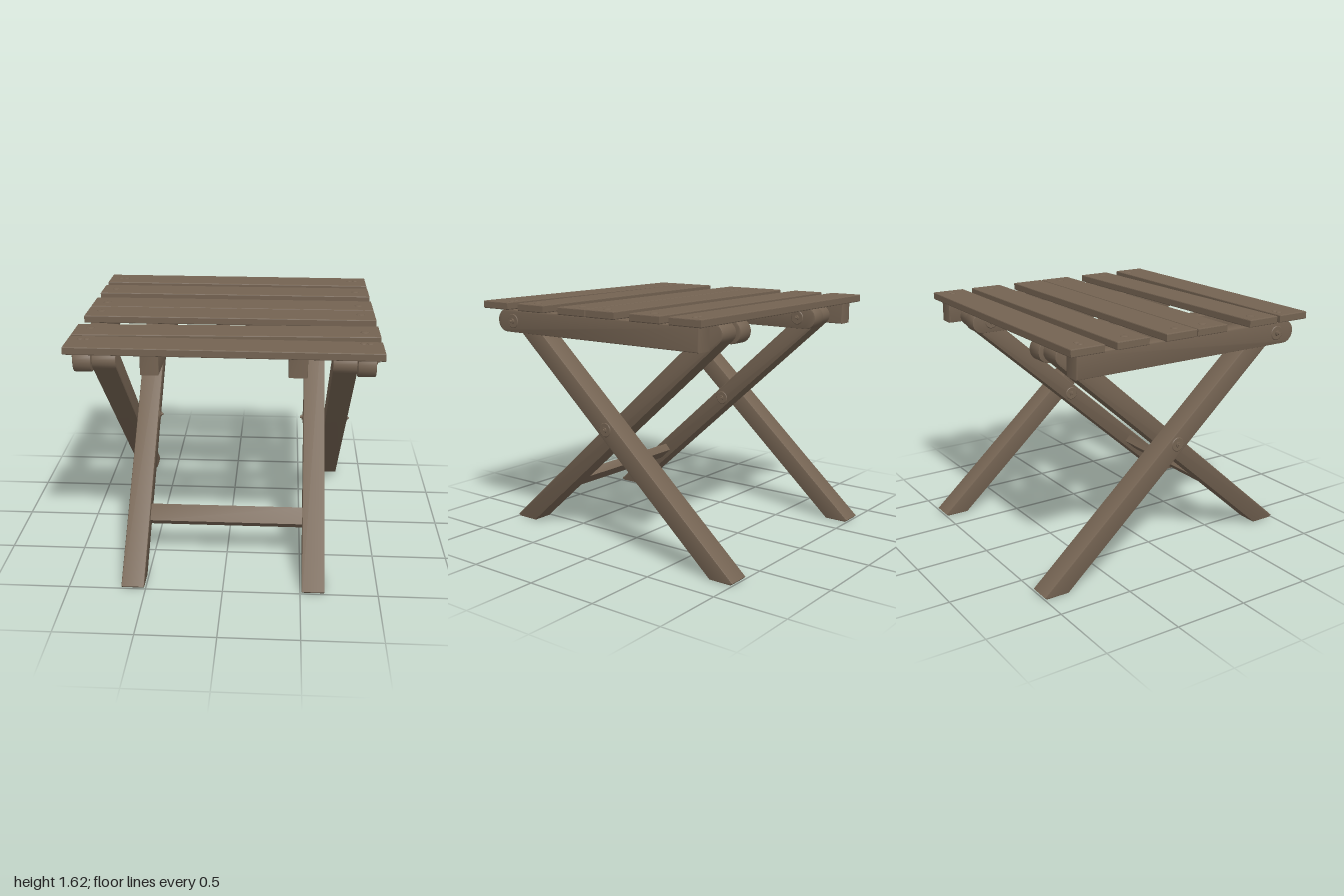
import * as THREE from 'three';
import { toCreasedNormals } from 'three/addons/utils/BufferGeometryUtils.js';

const SLOPE = 0.89;          // rise of a leg per unit of z
const PIVOT_Y = 0.82;        // height where the legs cross
const HALF = 0.065;          // half the leg width
const RAIL_Y = 1.484;
const BEVEL = 0.006;

export function createModel() {
  const wood = new THREE.MeshStandardMaterial({ color: 0x746352 });
  wood.name = 'brown wood';
  const model = new THREE.Group();
  model.name = 'foldingStool';

  const add = (name, geometry, x = 0, y = 0, z = 0, parent = model) => {
    const mesh = new THREE.Mesh(geometry, wood);
    mesh.name = name;
    mesh.position.set(x, y, z);
    parent.add(mesh);
    return mesh;
  };

  // Bevelled plate that keeps its outline, centred on its thickness
  const plate = (points, thickness) => {
    const geometry = new THREE.ExtrudeGeometry(new THREE.Shape(points), {
      depth: thickness - 2 * BEVEL, bevelThickness: BEVEL, bevelSize: BEVEL,
      bevelOffset: -BEVEL, bevelSegments: 2,
    });
    return geometry.translate(0, 0, BEVEL - thickness / 2);
  };
  // Side profile of [z, y] points, given a width along x
  const sideBar = (points, width, flip) => {
    const pts = points.map(([z, y]) => new THREE.Vector2(z * flip, y));
    return toCreasedNormals(plate(pts, width).rotateY(-Math.PI / 2), 0.5);
  };
  const arc = (z, y, r, from, to) => Array.from({ length: 13 }, (_, i) => {
    const a = from + (to - from) * i / 12;
    return [z + r * Math.cos(a), y + r * Math.sin(a)];
  });

  // Leg running from a cut foot at -z to a round top at +z
  const tilt = Math.atan(SLOPE);
  const topZ = 0.745;
  const legProfile = [
    [-1, 0.015], [-0.985, 0], [-0.83, 0],
    ...arc(topZ, PIVOT_Y + topZ * SLOPE, HALF, tilt - Math.PI / 2, tilt + Math.PI / 2),
  ];
  // Seat rail with one round end
  const railProfile = [
    [-0.825, RAIL_Y + 0.075], [-0.825, RAIL_Y - 0.075],
    ...arc(0.765, RAIL_Y, 0.075, -Math.PI / 2, Math.PI / 2),
  ];

  // Bolt end: washer, nut and tip pointing along dir on x
  const bolt = (name, x, y, z, dir, reach) => {
    const group = new THREE.Group();
    group.name = name;
    const disc = (part, r, h, sides) => add(part,
      new THREE.CylinderGeometry(r * 0.9, r, h, sides).translate(0, h / 2, 0), 0, 0, 0, group);
    disc('washer', 0.048, 0.004, 24);
    disc('nut', 0.019, reach * 0.55, 6);
    disc('boltTip', 0.009, reach, 12);
    group.rotation.z = -dir * Math.PI / 2;
    group.position.set(x, y, z);
    model.add(group);
  };

  for (const s of [-1, 1]) {
    const side = s > 0 ? 'left' : 'right';
    add(side + 'OuterLeg', sideBar(legProfile, 0.148, 1), s * 0.733);
    add(side + 'InnerLeg', sideBar(legProfile, 0.148, -1), s * 0.584);
    add(side + 'OuterRail', sideBar(railProfile, 0.112, 1), s * 0.864);
    add(side + 'InnerRail', sideBar(railProfile, 0.116, -1), s * 0.452);
    bolt(side + 'OuterRailBolt', s * 0.92, RAIL_Y, 0.7, s, 0.032);
    bolt(side + 'InnerRailBolt', s * 0.394, RAIL_Y, -0.7, -s, 0.032);
    bolt(side + 'OuterLegBolt', s * 0.807, PIVOT_Y, 0, s, 0.023);
    bolt(side + 'InnerLegBolt', s * 0.51, PIVOT_Y, 0, -s, 0.023);
  }

  // Stretcher between the inner legs, lying along their slope
  const cosT = Math.cos(tilt), sinT = Math.sin(tilt);
  const stretcher = [[-1, -1], [1, -1], [1, 1], [-1, 1]].map(([a, b]) => {
    const u = a * 0.06, v = b * 0.03;
    return [-0.56 + u * cosT - v * sinT, 0.318 + u * sinT + v * cosT];
  });
  add('stretcher', sideBar(stretcher, 1.03, -1));

  // Slats: back and front edge at the right end, then at the left end; screw row
  const slats = [
    [-0.885, -0.657, -0.87, -0.64, -0.775, [0.84, 0.882], 0.02],
    [-0.572, -0.345, -0.57, -0.342, -0.46, [0.865], 0.028],
    [-0.22, 0.008, -0.22, 0.008, -0.093, [0.865], 0.028],
    [0.016, 0.245, 0.018, 0.247, 0.122, [0.865], 0.028],
    [0.432, 0.66, 0.38, 0.608, 0.514, [0.865], 0.028],
    [0.685, 0.915, 0.707, 0.935, 0.745, [0.84, 0.882], 0.02],
  ];
  slats.forEach(([rb, rf, lb, lf, screwZ, xs, r], i) => {
    const pts = [[-0.96, rb], [-0.96, rf], [0.96, lf], [0.96, lb]]
      .map(([x, z]) => new THREE.Vector2(x, -z));
    add('slat' + (i + 1), plate(pts, 0.05).rotateX(-Math.PI / 2), 0, 1.585, 0);
    for (const s of [-1, 1]) for (const x of xs) {
      const head = new THREE.SphereGeometry(r, 16, 4, 0, Math.PI * 2, 0, Math.PI / 2);
      add('screwHead', head.scale(1, 0.007 / r, 1), s * x, 1.609, screwZ);
    }
  });

  return model;
}
